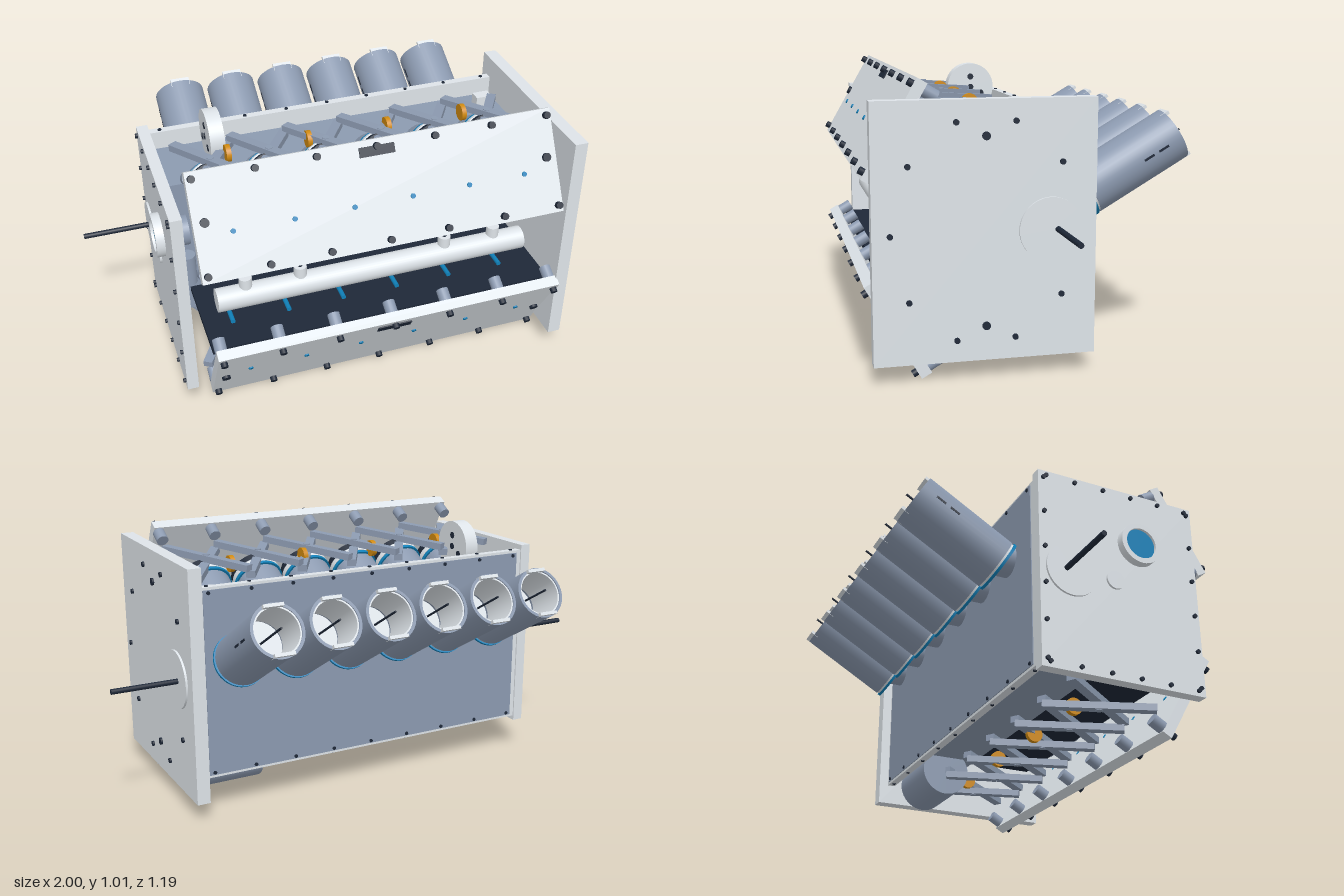
import * as THREE from 'three';

const mat = (color) => new THREE.MeshStandardMaterial({ color, side: THREE.DoubleSide });
const GREY = mat(0xdde3e8), STEEL = mat(0x8c9ab0), DARK = mat(0x1e2838), BLUE = mat(0x1080b8), ORANGE = mat(0xd08a10);
const MID = 0.51; // height of the centre line

function add(parent, name, geo, material, x = 0, y = 0, z = 0) {
  const m = new THREE.Mesh(geo, material);
  m.name = name;
  m.position.set(x, y, z);
  parent.add(m);
  return m;
}
const box = (p, n, m, w, h, d, x, y, z) => add(p, n, new THREE.BoxGeometry(w, h, d), m, x, y, z);

// Cylinder along the chosen axis
function rod(p, n, m, axis, r, len, x, y, z, seg = 32) {
  const g = new THREE.CylinderGeometry(r, r, len, seg);
  if (axis === 'x') g.rotateZ(Math.PI / 2);
  if (axis === 'z') g.rotateX(Math.PI / 2);
  return add(p, n, g, m, x, y, z);
}

// Ring or hollow tube along y, from y0 to y1
function sleeve(p, n, m, rIn, rOut, y0, y1) {
  const pts = [[rIn, y0], [rOut, y0], [rOut, y0], [rOut, y1], [rOut, y1], [rIn, y1], [rIn, y1], [rIn, y0]];
  return add(p, n, new THREE.LatheGeometry(pts.map(([a, b]) => new THREE.Vector2(a, b)), 36), m);
}

// Rectangular beam between two points
function beam(p, n, m, a, b, w, t) {
  const mesh = box(p, n, m, w, t, a.distanceTo(b), 0, 0, 0);
  mesh.position.copy(a).add(b).multiplyScalar(0.5);
  mesh.lookAt(b);
}

// Sloping front cover with bolts, spacers and label plate; s is 1 for the upper, -1 for the lower
function makeCover(name, s) {
  const g = new THREE.Group();
  g.name = name;
  box(g, 'coverPlate', GREY, 1.34, 0.38, 0.04, 0, 0, 0);
  box(g, 'labelPlate', DARK, 0.13, 0.035, 0.006, 0, 0.15, 0.022);
  for (let i = 0; i < 7; i++) {
    for (const v of [-0.165, 0.165]) {
      const x = -0.65 + i * 0.2167;
      rod(g, 'coverBolt', DARK, 'z', 0.013, 0.02, x, v, 0.028, 12);
      rod(g, 'spacer', STEEL, 'z', 0.023, 0.05, x, v, -0.045, 20);
    }
    if (i < 6) rod(g, 'bluePin', BLUE, 'z', 0.009, 0.046, -0.54 + i * 0.215, s * -0.03, 0.002, 12);
  }
  for (const x of [-0.63, 0.63]) rod(g, 'sideBolt', DARK, 'z', 0.016, 0.012, x, s * 0.015, 0.024, 16);
  return g;
}

// Crossed arms running between housing and cover
function makeLinkage() {
  const g = new THREE.Group();
  g.name = 'linkage';
  for (let i = 0; i < 6; i++) {
    const x = -0.535 + i * 0.214;
    for (const s of [-1, 1]) {
      beam(g, 'linkArm', STEEL, new THREE.Vector3(x - s * 0.105, 0.36 + s * 0.012, 0),
        new THREE.Vector3(x + s * 0.105, 0.395 + s * 0.012, 0.34), 0.035, 0.026);
    }
    rod(g, 'linkPivot', STEEL, 'y', 0.013, 0.055, x, 0.378, 0.17, 16);
  }
  for (const x of [-0.46, -0.155, 0.155, 0.46]) {
    rod(g, 'orangeRoller', ORANGE, 'x', 0.032, 0.018, x, 0.372, 0.11, 24);
  }
  return g;
}

// Short forward barrel with a dark cap, local y along its axis
function makeBarrel(x) {
  const g = new THREE.Group();
  g.name = 'barrel';
  g.position.set(x, 0.765, 0.13);
  g.rotation.x = Math.PI / 3;
  rod(g, 'barrelWall', STEEL, 'y', 0.09, 0.105, 0, 0.0025, 0);
  rod(g, 'barrelSeal', BLUE, 'y', 0.098, 0.012, 0, 0.046, 0);
  rod(g, 'barrelRim', GREY, 'y', 0.097, 0.02, 0, 0.065, 0);
  rod(g, 'barrelCap', DARK, 'y', 0.092, 0.03, 0, 0.09, 0);
  return g;
}

// Open rear tube, local y along its axis
function makeTube(x) {
  const g = new THREE.Group();
  g.name = 'rearTube';
  g.position.set(x, 0.61, -0.22);
  g.rotation.x = -Math.PI / 3;
  sleeve(g, 'tubeWall', STEEL, 0.086, 0.097, 0, 0.368);
  sleeve(g, 'tubeLiner', GREY, 0.08, 0.086, 0.2, 0.364);
  sleeve(g, 'tubeCollar', GREY, 0.05, 0.094, -0.008, 0);
  sleeve(g, 'tubeSeal', BLUE, 0.05, 0.1, -0.018, -0.008);
  rod(g, 'tubeFloor', GREY, 'y', 0.085, 0.008, 0, 0.18, 0);
  rod(g, 'tubePin', DARK, 'y', 0.004, 0.2, 0, 0.3, 0, 10);
  for (const s of [-1, 1]) {
    box(g, 'tubeClip', GREY, 0.075, 0.035, 0.012, 0, 0.366, s * 0.084);
    for (const y of [0.23, 0.29]) box(g, 'tubeSlot', DARK, 0.004, 0.04, 0.008, s * 0.096, y, 0);
  }
  return g;
}

export function createModel() {
  const root = new THREE.Group();
  root.name = 'machine';

  // End plates
  box(root, 'rightHandPlate', GREY, 0.05, 0.88, 0.76, 0.72, MID, 0.18);
  box(root, 'leftHandPlate', GREY, 0.042, 0.76, 0.64, -0.723, MID, 0.155);
  const bolts = [[0.28, 0.877], [0.08, 0.877], [0.44, 0.737], [-0.08, 0.737], [0.5, 0.51],
    [0.44, 0.285], [-0.08, 0.285], [0.28, 0.145], [0.08, 0.145]];
  for (const [z, y] of bolts) rod(root, 'plateBolt', DARK, 'x', 0.01, 0.012, 0.747, y, z, 16);
  for (const y of [0.83, 0.19]) rod(root, 'plateStud', DARK, 'x', 0.014, 0.012, 0.747, y, 0.18, 16);
  for (let i = 0; i < 6; i++) {
    const y = 0.16 + i * 0.14, z = -0.135 + i * 0.116;
    for (const e of [-0.145, 0.455]) rod(root, 'edgeBolt', DARK, 'x', 0.008, 0.012, -0.747, y, e, 12);
    for (const e of [0.15, 0.87]) rod(root, 'edgeBolt', DARK, 'x', 0.008, 0.012, -0.747, e, z, 12);
  }

  // Through shaft, bearings and side port
  rod(root, 'shaft', DARK, 'x', 0.01, 2, 0, MID, -0.065, 16);
  rod(root, 'bearingDisc', GREY, 'x', 0.11, 0.01, 0.748, MID, -0.042, 48);
  rod(root, 'bearingDisc', GREY, 'x', 0.1, 0.01, -0.747, MID, -0.042, 48);
  rod(root, 'smallDisc', GREY, 'x', 0.035, 0.01, -0.747, MID, 0.13);
  const port = new THREE.Group();
  port.name = 'sidePort';
  port.position.set(-0.7, 0.67, 0.23);
  port.rotation.z = Math.PI / 2;
  root.add(port);
  sleeve(port, 'portRing', GREY, 0.06, 0.08, 0.03, 0.075);
  rod(port, 'portCap', BLUE, 'y', 0.062, 0.03, 0, 0.05, 0);
  rod(port, 'portStem', STEEL, 'y', 0.055, 0.06, 0, -0.02, 0);

  // Back plate
  box(root, 'backPlate', GREY, 1.4, 0.72, 0.03, 0, MID, -0.147);
  box(root, 'backSheet', STEEL, 1.36, 0.7, 0.004, 0, MID, -0.163);
  for (let i = 0; i < 9; i++) {
    const x = -0.66 + i * 0.165;
    for (const y of [0.17, 0.85]) rod(root, 'backBolt', DARK, 'z', 0.007, 0.008, x, y, -0.165, 12);
    for (const y of [0.15, 0.87]) rod(root, 'topBolt', DARK, 'y', 0.007, 0.008, x, y, -0.147, 12);
  }

  // Inner housing with a dark tray behind the lower cover
  box(root, 'innerHousing', STEEL, 1.38, 0.58, 0.265, 0, MID, 0);
  box(root, 'innerTray', DARK, 1.33, 0.02, 0.38, 0.02, 0.315, 0.32);
  for (let i = 0; i < 6; i++) {
    const x = -0.54 + i * 0.215;
    for (const y of [0.38, 0.645]) rod(root, 'housingPin', BLUE, 'z', 0.009, 0.02, x, y, 0.14, 12);
    rod(root, 'trayPin', BLUE, 'z', 0.009, 0.08, x, 0.332, 0.35, 12);
  }

  // Front bar with pegs
  rod(root, 'frontBar', GREY, 'x', 0.044, 1.2, 0, 0.465, 0.41);
  for (const x of [-0.49, -0.285, 0.28, 0.48]) rod(root, 'barPeg', GREY, 'y', 0.024, 0.06, x, 0.515, 0.41, 24);
  for (const x of [-0.285, 0.28]) rod(root, 'barPin', DARK, 'y', 0.008, 0.05, x, 0.55, 0.41, 12);

  // Sloping covers
  for (const s of [1, -1]) {
    const cover = makeCover(s > 0 ? 'upperCover' : 'lowerCover', s);
    cover.position.set(s > 0 ? 0 : 0.03, MID + s * 0.332, 0.47);
    cover.rotation.x = -s * Math.PI / 6;
    root.add(cover);
  }

  // Linkages above and below, the lower one turned half round
  for (const turn of [0, Math.PI]) {
    const link = makeLinkage();
    link.position.y = MID;
    link.rotation.z = turn;
    root.add(link);
  }

  // Forward barrels, and rear tubes with their necks, joined by a blue rod
  for (let i = 0; i < 6; i++) {
    const x = -0.51 + i * 0.215;
    root.add(makeBarrel(-0.535 + i * 0.214), makeTube(x));
    rod(root, 'tubeNeck', STEEL, 'z', 0.06, 0.075, x, 0.635, -0.195);
    if (i < 5) rod(root, 'tubeLink', BLUE, 'x', 0.009, 0.04, x + 0.1075, 0.668, -0.32, 12);
  }

  // Wheel on top, motor below and small fittings
  rod(root, 'topWheel', GREY, 'x', 0.1, 0.055, -0.485, 0.887, -0.025, 40);
  for (const [y, z] of [[0.885, -0.025], [0.93, -0.025], [0.86, 0.02], [0.86, -0.07]]) {
    rod(root, 'wheelBolt', DARK, 'x', 0.013, 0.06, -0.485, y, z, 16);
  }
  rod(root, 'motor', STEEL, 'x', 0.1, 0.26, 0.565, 0.16, 0, 40);
  box(root, 'topBlock', GREY, 0.065, 0.05, 0.045, 0.625, 0.82, -0.05);
  rod(root, 'sideCylinder', STEEL, 'y', 0.03, 0.12, -0.672, 0.55, 0.3, 24);
  return root;
}
